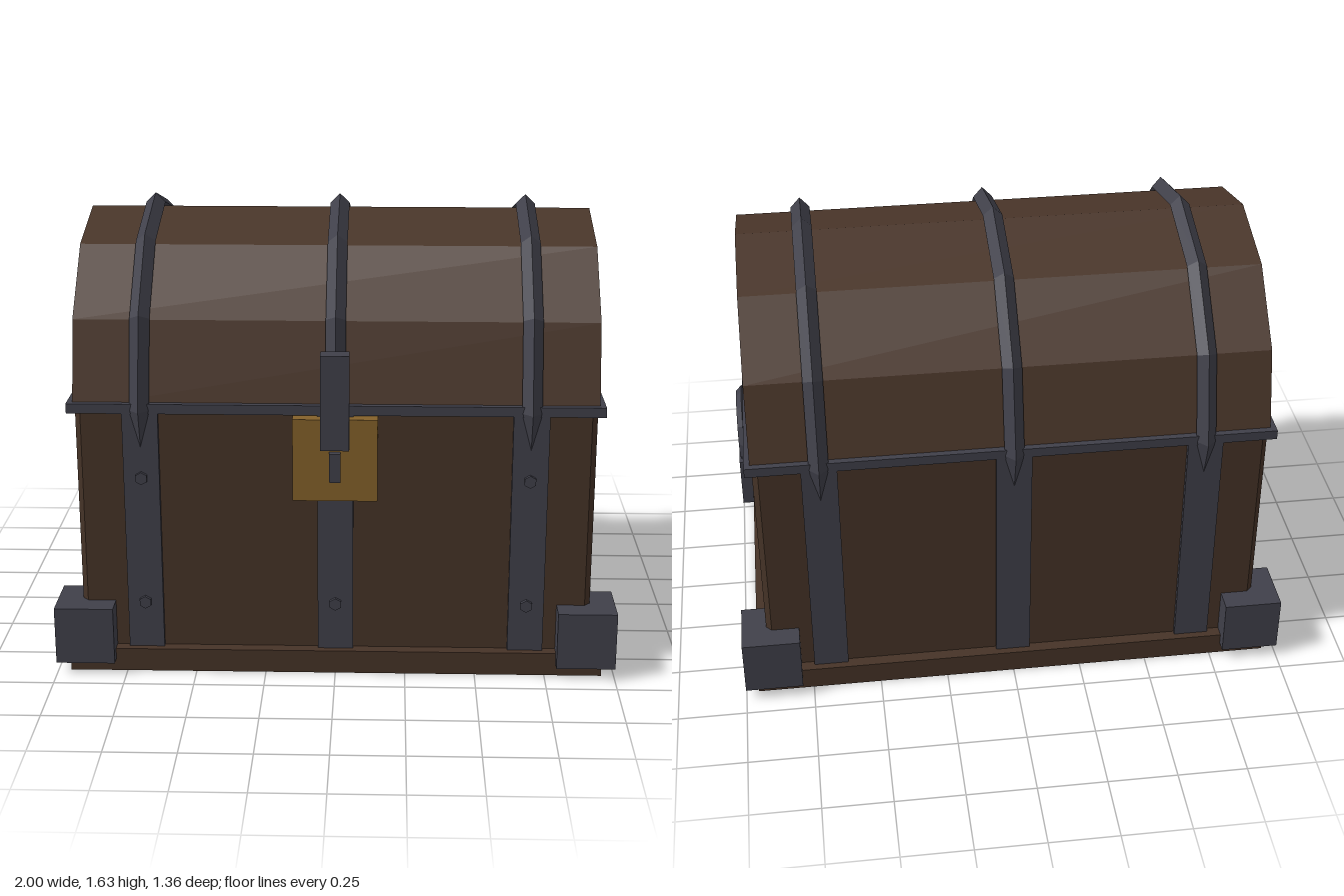
import * as THREE from 'three';

const mat = (name, color) => {
  const m = new THREE.MeshStandardMaterial({ color });
  m.name = name;
  return m;
};

export function createModel() {
  const chest = new THREE.Group();
  chest.name = 'treasureChest';
  const wood = mat('dark wood', 0x463327);
  const lidWood = mat('lid wood', 0x4a362a);
  const iron = mat('iron', 0x40404a);
  const brass = mat('brass', 0x84612a);

  // Adds a faceted mesh at a position
  const add = (name, geometry, material, x = 0, y = 0, z = 0) => {
    const g = geometry.index ? geometry.toNonIndexed() : geometry;
    g.computeVertexNormals();
    const mesh = new THREE.Mesh(g, material);
    mesh.name = name;
    mesh.position.set(x, y, z);
    chest.add(mesh);
    return mesh;
  };
  // Box given by its centre in x and its extents in y and z
  const box = (name, material, x, w, y0, y1, z0, z1) =>
    add(name, new THREE.BoxGeometry(w, y1 - y0, z1 - z0), material, x, (y0 + y1) / 2, (z0 + z1) / 2);
  const shape = (pts) => new THREE.Shape(pts.map(([x, y]) => new THREE.Vector2(x, y)));

  // Base plinth
  box('base', wood, 0, 1.91, 0, 0.085, -0.64, 0.64);

  // Body with chamfered upright corners
  const X = 0.91, Z = 0.597, c = 0.02;
  const plan = shape([
    [X, -Z + c], [X, Z - c], [X - c, Z], [-X + c, Z],
    [-X, Z - c], [-X, -Z + c], [-X + c, -Z], [X - c, -Z],
  ]);
  const bodyGeo = new THREE.ExtrudeGeometry(plan, { depth: 0.895, bevelEnabled: false });
  bodyGeo.rotateX(-Math.PI / 2);
  add('body', bodyGeo, wood, 0, 0.085, 0);

  // Barrel lid: half of a twelve-sided prism
  const lidY = 0.977, lidR = 0.6, lidHalf = 0.915;
  const arc = [];
  for (let i = 0; i <= 6; i++) {
    const a = (i * Math.PI) / 6;
    arc.push([lidR * Math.cos(a), lidR * Math.sin(a)]);
  }
  const lidGeo = new THREE.ExtrudeGeometry(shape(arc), { depth: lidHalf * 2, bevelEnabled: false });
  lidGeo.translate(0, 0, -lidHalf);
  lidGeo.rotateY(Math.PI / 2);
  add('lid', lidGeo, lidWood, 0, lidY, 0);

  // Iron rim between body and lid
  box('rim', iron, 0, 1.87, 0.965, 1.0, -0.617, 0.617);

  // Upright bands, lid straps and front rivets
  for (const x of [-0.68, 0, 0.68]) {
    box('bodyBand', iron, x, 0.126, 0.085, 0.97, -0.614, 0.614);

    const strap = new THREE.TorusGeometry(0.615, 0.035, 4, 8, (4 * Math.PI) / 3);
    strap.rotateZ(-Math.PI / 6);
    strap.rotateY(Math.PI / 2);
    add('lidStrap', strap, iron, x, lidY, 0);

    for (const y of [0.26, 0.73]) {
      const rivet = new THREE.CylinderGeometry(0.023, 0.023, 0.025, 6);
      rivet.rotateX(Math.PI / 2);
      add('rivet', rivet, iron, x, y, 0.615);
    }
  }

  // Corner guards and side ring handles
  for (const sx of [-1, 1]) {
    for (const sz of [-1, 1]) {
      add('cornerGuard', new THREE.BoxGeometry(0.21, 0.21, 0.21), iron, sx * 0.895, 0.15, sz * 0.575);
    }
    const ring = new THREE.TorusGeometry(0.128, 0.02, 4, 12);
    ring.rotateY(Math.PI / 2);
    add('ringHandle', ring, iron, sx * 0.946, 0.767, 0);
  }

  // Lock plate, hasp and staple
  box('lockPlate', brass, 0, 0.295, 0.663, 0.96, 0.59, 0.65);
  box('hasp', iron, 0, 0.1, 0.857, 1.195, 0.617, 0.68);
  box('staple', iron, 0, 0.04, 0.74, 0.843, 0.64, 0.676);

  return chest;
}
